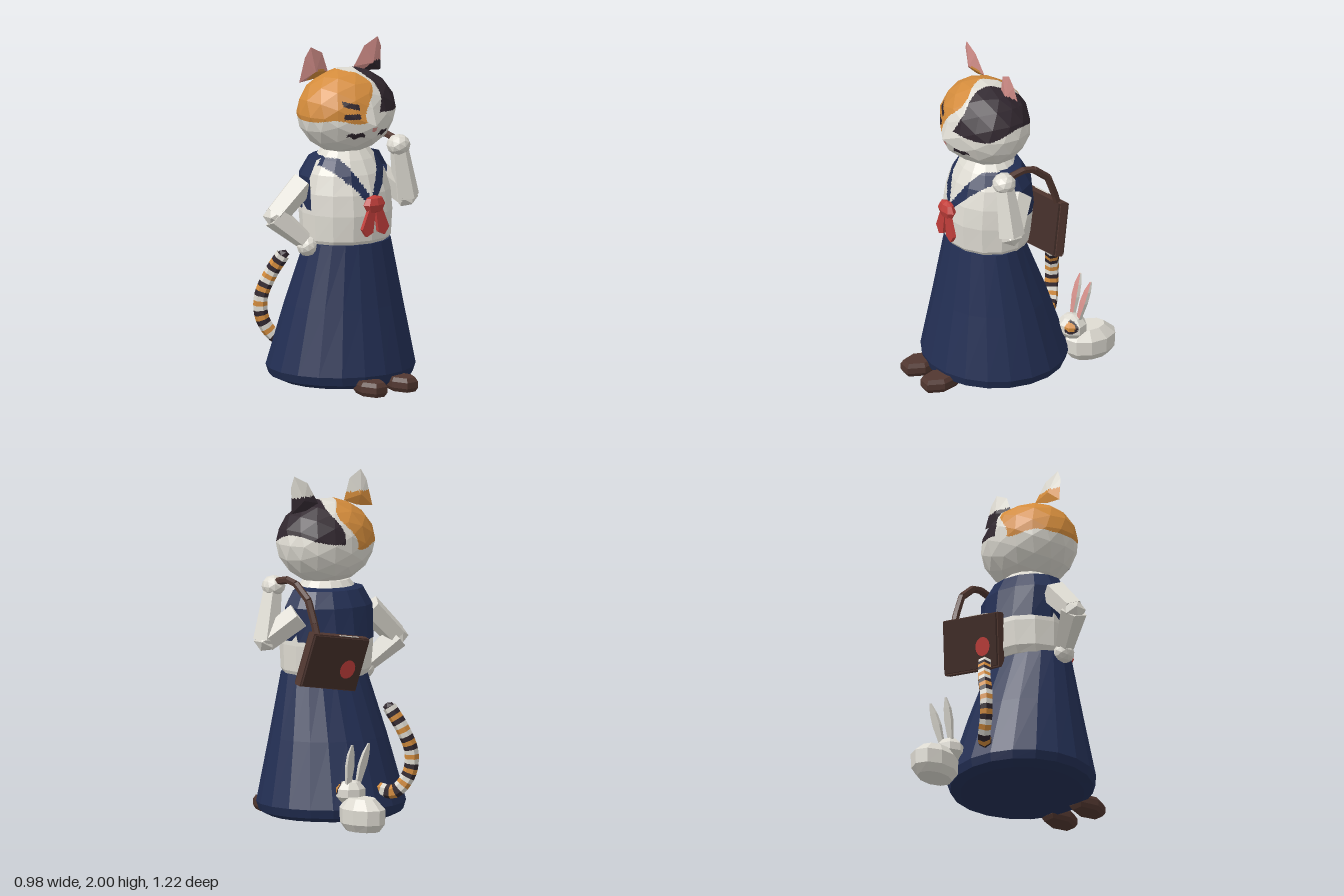
import * as THREE from 'three';

const mat = (name, color) => {
  const m = new THREE.MeshStandardMaterial({ color, side: THREE.DoubleSide });
  m.name = name;
  return m;
};
const V = (x, y, z) => new THREE.Vector3(x, y, z);

// Faceted normals: every triangle owns its corners
function flat(geo) {
  const g = geo.index ? geo.toNonIndexed() : geo;
  g.computeVertexNormals();
  return g;
}

function fromPositions(pos) {
  const g = new THREE.BufferGeometry();
  g.setAttribute('position', new THREE.Float32BufferAttribute(pos, 3));
  g.computeVertexNormals();
  return g;
}

// Splits each facet into n*n pieces and sorts them into colour groups;
// pick(point, normal, facetIndex) returns a material
function painted(geo, n, pick) {
  const src = (geo.index ? geo.toNonIndexed() : geo).attributes.position;
  const buckets = new Map();
  for (let f = 0; f < src.count; f += 3) {
    const [a, b, c] = [0, 1, 2].map(k => V().fromBufferAttribute(src, f + k));
    const normal = b.clone().sub(a).cross(c.clone().sub(a)).normalize();
    const at = (i, j) => a.clone().multiplyScalar(1 - (i + j) / n).addScaledVector(b, i / n).addScaledVector(c, j / n);
    const add = (p, q, r) => {
      const m = pick(p.clone().add(q).add(r).divideScalar(3), normal, f / 3);
      if (!buckets.has(m)) buckets.set(m, []);
      buckets.get(m).push(...p.toArray(), ...q.toArray(), ...r.toArray());
    };
    for (let i = 0; i < n; i++) for (let j = 0; j < n - i; j++) {
      add(at(i, j), at(i + 1, j), at(i, j + 1));
      if (i + j < n - 1) add(at(i + 1, j), at(i + 1, j + 1), at(i, j + 1));
    }
  }
  const g = fromPositions([...buckets.values()].flat());
  let start = 0, k = 0;
  for (const p of buckets.values()) {
    g.addGroup(start, p.length / 3, k++);
    start += p.length / 3;
  }
  return [g, [...buckets.keys()]];
}

// Elliptic rings [y, centreX, centreZ, radiusX, radiusZ], bottom to top
function loft(rings, sides, from = 0, to = from + Math.PI * 2, caps = true) {
  const pos = [];
  const pt = ([y, cx, cz, rx, rz], i) => {
    const a = from + (to - from) * i / sides;
    return [cx + rx * Math.sin(a), y, cz + rz * Math.cos(a)];
  };
  const lo = rings[0], hi = rings[rings.length - 1];
  for (let i = 0; i < sides; i++) {
    for (let r = 0; r < rings.length - 1; r++) {
      const a = pt(rings[r], i), b = pt(rings[r], i + 1), c = pt(rings[r + 1], i + 1), d = pt(rings[r + 1], i);
      pos.push(...a, ...b, ...c, ...a, ...c, ...d);
    }
    if (caps) {
      pos.push(lo[1], lo[0], lo[2], ...pt(lo, i + 1), ...pt(lo, i));
      pos.push(hi[1], hi[0], hi[2], ...pt(hi, i), ...pt(hi, i + 1));
    }
  }
  return fromPositions(pos);
}

// Tapered prism between two points
function limb(a, b, ra, rb, sides = 5) {
  const d = b.clone().sub(a), g = new THREE.CylinderGeometry(rb, ra, d.length(), sides);
  g.applyQuaternion(new THREE.Quaternion().setFromUnitVectors(V(0, 1, 0), d.normalize()));
  const mid = a.clone().add(b).multiplyScalar(0.5);
  return flat(g.translate(mid.x, mid.y, mid.z));
}

const blob = (geo, s, c) => flat(geo.scale(...s).translate(...c));

export function createModel() {
  const white = mat('white fur', 0xdedbd2), orange = mat('orange fur', 0xd48c3c), dark = mat('dark fur', 0x31272f);
  const navy = mat('navy cloth', 0x232f54), brown = mat('shoe brown', 0x513730), leather = mat('bag leather', 0x432e29);
  const red = mat('red cloth', 0xc23f3b), pink = mat('pink skin', 0xd6918c);
  const model = new THREE.Group();
  const add = (name, geo, m, parent = model) => {
    const o = new THREE.Mesh(geo, m);
    o.name = name;
    parent.add(o);
    return o;
  };
  const CX = 0.03;

  // Long skirt
  add('skirt', loft([[0.03, CX, 0.08, 0.3, 0.3], [0.022, CX, 0.08, 0.36, 0.36], [0.05, CX, 0.077, 0.42, 0.41],
    [0.1, CX, 0.077, 0.438, 0.423], [0.48, CX, 0.105, 0.352, 0.322], [0.85, CX, 0.145, 0.264, 0.217]], 20), navy);

  // Blouse with the front collar bands painted on
  const torso = loft([[0.83, CX, 0.125, 0.25, 0.215], [0.87, CX, 0.125, 0.27, 0.245], [1.02, CX, 0.122, 0.277, 0.26],
    [1.14, CX, 0.12, 0.27, 0.247], [1.25, CX, 0.12, 0.24, 0.21], [1.33, CX, 0.12, 0.188, 0.165], [1.385, CX, 0.12, 0.14, 0.125]], 14);
  add('blouse', ...painted(torso, 9, ({ x, y, z }) => {
    const d = Math.abs(x - CX);
    const band = z > 0.12 && y > 1.09 && y < 1.345 && d > (y - 1.12) * 0.57 && d < 0.075 + (y - 1.15) * 0.87;
    return band ? navy : white;
  }));
  add('backCollar', loft([[1.045, CX, 0.12, 0.275, 0.265], [1.24, CX, 0.12, 0.285, 0.24], [1.335, CX, 0.12, 0.23, 0.187],
    [1.355, CX, 0.12, 0.15, 0.135]], 8, 1.45, Math.PI * 2 - 1.45, false), navy);

  // Neckerchief
  add('knot', blob(new THREE.SphereGeometry(1, 8, 4), [0.078, 0.055, 0.04], [CX, 1.088, 0.392]), red);
  for (const s of [-1, 1]) {
    const tail = new THREE.Shape([[0, 0.03], [0.045, 0.02], [0.097, -0.1], [0.065, -0.145], [0.02, -0.125], [0.004, -0.02]]
      .map(([x, y]) => new THREE.Vector2(s * x, y)));
    add('neckerchiefTail', flat(new THREE.ExtrudeGeometry(tail, { depth: 0.022, bevelEnabled: false }).translate(CX, 1.05, 0.386)), red);
  }

  // Head with calico patches, closed eyes and nose
  const head = new THREE.IcosahedronGeometry(1, 2).scale(0.308, 0.25, 0.25).translate(0.025, 1.603, 0.135);
  const hp = head.attributes.position;
  for (let i = 0; i < hp.count; i++) {
    const x = hp.getX(i) - 0.025, y = hp.getY(i) - 1.525, z = hp.getZ(i);
    if (z > 0.2) hp.setZ(i, z + 0.042 * Math.exp(-(x * x + y * y) / 0.008));
  }
  add('head', ...painted(head, 13, ({ x, y, z }) => {
    const d = Math.abs(x - 0.025), e = Math.abs(d - 0.095);
    if (z > 0.2) {
      if (d < 0.018 && Math.abs(y - 1.53) < 0.012) return pink;
      if (e < 0.048 && Math.abs(y - 1.497 - 0.006 * Math.sin(d * 110)) < 0.02 - e * 0.25) return dark;
      if (Math.abs(x + 0.1) < 0.044 && (Math.abs(y - 1.675 + 0.3 * (x + 0.1)) < 0.016 || Math.abs(y - 1.612) < 0.015)) return dark;
    }
    const t = Math.atan2(z - 0.13, y - 1.6);
    if (x < 0.025 + 0.05 * Math.cos((t - 0.78) * 4)) return y > 1.58 + 0.012 * Math.sin(x * 25) ? orange : white;
    if (x > 0.09 + 0.025 * Math.cos((t - 1) * 4)) return y > 1.635 + 0.03 * Math.sin(14 * z + 0.5) ? dark : white;
    return white;
  }));

  // Ears
  const rim = [[0.297, 1.79], [0.278, 1.94], [0.245, 2], [0.155, 1.955], [0.095, 1.835], [0.19, 1.8]];
  for (const s of [-1, 1]) {
    const pos = [], patch = s > 0 ? dark : orange;
    const at = ([d, y], z) => [0.025 + s * d, y, z ?? 0.075 + (y - 1.79) * 0.2];
    rim.forEach((p, i) => {
      const q = rim[(i + 1) % rim.length], [a, b] = s > 0 ? [p, q] : [q, p];
      pos.push(...at([0.21, 1.85], 0.122), ...at(a), ...at(b));
      pos.push(...at([0.21, 1.86], 0.068), ...at(b), ...at(a));
    });
    add(s > 0 ? 'leftEar' : 'rightEar', ...painted(fromPositions(pos), 8, ({ x, y }, n, f) => {
      if (f % 2 === 0) return Math.hypot((x - 0.025) * s - (s > 0 ? 0.25 : 0.17), (y - 1.8) * 1.3) < 0.075 ? patch : pink;
      return y < 1.88 ? patch : white;
    }));
  }

  // Arms: right on the hip, left raised
  const arm = (side, shoulder, elbow, wrist, hand, handSize) => {
    const g = new THREE.Group();
    g.name = side + 'Arm';
    model.add(g);
    add('upperArm', limb(shoulder, elbow, 0.08, 0.07), white, g);
    add('elbow', blob(new THREE.IcosahedronGeometry(1, 0), [0.072, 0.066, 0.072], elbow.toArray()), white, g);
    add('forearm', limb(elbow, wrist, 0.08, 0.056), white, g);
    add('hand', blob(new THREE.IcosahedronGeometry(1, 1), handSize, hand.toArray()), white, g);
  };
  arm('right', V(-0.24, 1.2, 0.07), V(-0.42, 1.02, 0.04), V(-0.27, 0.87, 0.12), V(-0.255, 0.835, 0.13), [0.062, 0.06, 0.062]);
  arm('left', V(0.28, 1.2, 0.06), V(0.42, 1.05, 0.19), V(0.365, 1.33, 0.2), V(0.357, 1.362, 0.2), [0.07, 0.063, 0.07]);

  // Shoes
  const sole = [[-0.035, -0.1], [0.035, -0.1], [0.063, 0], [0.03, 0.083], [-0.03, 0.083], [-0.063, 0]];
  for (const x of [-0.085, 0.14]) {
    const shape = new THREE.Shape(sole.map(([a, b]) => new THREE.Vector2(a, -b)));
    const g = new THREE.ExtrudeGeometry(shape, { depth: 0.035, bevelSize: 0.014, bevelThickness: 0.024, bevelSegments: 1 });
    add('shoe', flat(g.rotateX(-Math.PI / 2).translate(x, 0.024, 0.513)), brown);
  }

  // School bag slung behind the left shoulder
  const bag = new THREE.Group();
  bag.name = 'bag';
  bag.position.set(0.2, 0.948, -0.145);
  bag.rotation.set(-0.22, 0, 0.17);
  model.add(bag);
  add('bagBody', new THREE.BoxGeometry(0.41, 0.305, 0.07), leather, bag);
  add('bagRim', new THREE.BoxGeometry(0.425, 0.32, 0.045), brown, bag);
  add('bagClasp', new THREE.BoxGeometry(0.14, 0.006, 0.009).translate(-0.06, 0.161, -0.017), white, bag);
  add('bagBadge', new THREE.CircleGeometry(0.056, 14).rotateY(Math.PI).translate(-0.1, -0.03, -0.037), red, bag);
  const strap = [V(0.33, 1.08, -0.18), V(0.335, 1.18, -0.15), V(0.34, 1.31, -0.1), V(0.35, 1.395, 0), V(0.355, 1.412, 0.07), V(0.36, 1.39, 0.18)];
  for (let i = 0; i < strap.length - 1; i++) add('bagHandle', limb(strap[i], strap[i + 1], 0.022, 0.022, 6), brown);

  // Banded tail
  const path = new THREE.CatmullRomCurve3([V(-0.03, 0.2, -0.27), V(-0.09, 0.19, -0.36), V(-0.155, 0.29, -0.41),
    V(-0.165, 0.42, -0.42), V(-0.12, 0.56, -0.39), V(-0.07, 0.68, -0.335)]);
  const bands = [orange, white, dark, orange, dark, white];
  add('tail', ...painted(new THREE.TubeGeometry(path, 24, 0.041, 6), 1, (p, n, f) => bands[Math.floor(f / 12) % 6]));
  add('tailTip', blob(new THREE.IcosahedronGeometry(1, 0), [0.038, 0.03, 0.038], [-0.07, 0.68, -0.335]), dark);

  // Small rabbit sitting behind
  const rabbit = new THREE.Group();
  rabbit.name = 'rabbit';
  model.add(rabbit);
  add('rabbitBody', loft([[0, 0.22, -0.45, 0.08, 0.12], [0.045, 0.22, -0.45, 0.112, 0.155], [0.13, 0.22, -0.45, 0.115, 0.16],
    [0.19, 0.22, -0.44, 0.07, 0.1]], 10), white, rabbit);
  const rabbitHead = new THREE.SphereGeometry(1, 8, 5).scale(0.095, 0.075, 0.085).translate(0.215, 0.21, -0.335);
  add('rabbitHead', ...painted(rabbitHead, 6, ({ x, y, z }) => {
    const r = Math.hypot(y - 0.235, z + 0.287);
    if (x < 0.25 || r > 0.04) return white;
    return r > 0.026 ? dark : orange;
  }), rabbit);
  for (const s of [-1, 1]) {
    const x = 0.215 + s * 0.035;
    const ear = loft([[0.25, x, -0.355, 0.02, 0.012], [0.37, x + s * 0.012, -0.385, 0.037, 0.016],
      [0.44, x + s * 0.02, -0.405, 0.03, 0.014], [0.5, x + s * 0.026, -0.425, 0.008, 0.006]], 4, Math.PI / 4);
    add('rabbitEar', ...painted(ear, 1, (p, n) => n.z > 0.6 ? pink : white), rabbit);
  }
  return model;
}
